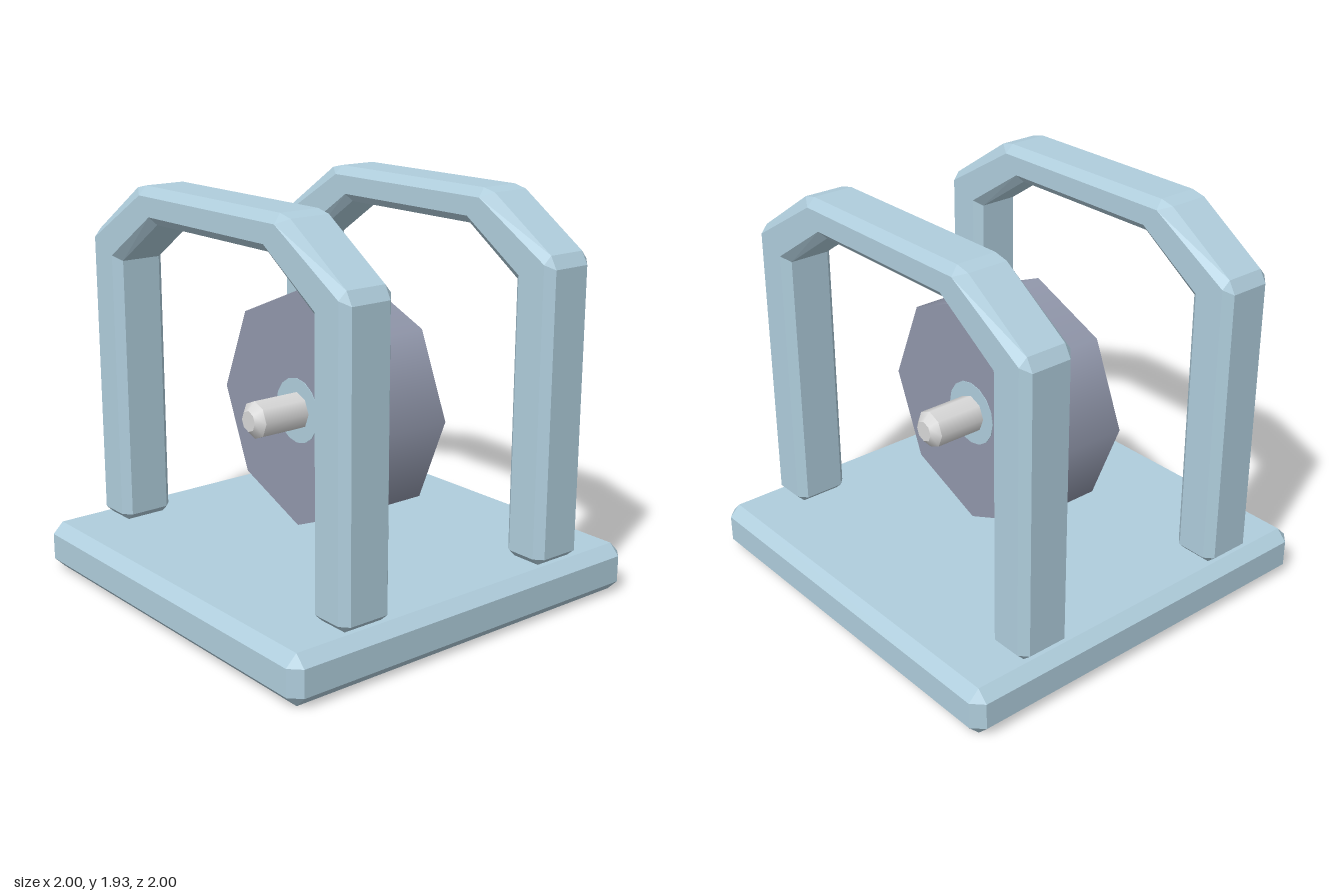
import * as THREE from 'three';
import { ConvexGeometry } from 'three/addons/geometries/ConvexGeometry.js';

const blue = new THREE.MeshStandardMaterial({ color: 0xb0cedd });
blue.name = 'paleBlue';
const slate = new THREE.MeshStandardMaterial({ color: 0x9298ac });
slate.name = 'slateGrey';
const steel = new THREE.MeshStandardMaterial({ color: 0xd9d9d9 });
steel.name = 'lightSteel';

function addMesh(parent, name, geometry, material, x = 0, y = 0, z = 0) {
  const mesh = new THREE.Mesh(geometry, material);
  mesh.name = name;
  mesh.position.set(x, y, z);
  parent.add(mesh);
  return mesh;
}

// Box with every edge and corner cut at 45 degrees
function chamferedBox(w, h, d, c) {
  const points = [];
  for (const sx of [-1, 1]) for (const sy of [-1, 1]) for (const sz of [-1, 1]) {
    for (let full = 0; full < 3; full++) {
      const p = [w / 2 - c, h / 2 - c, d / 2 - c];
      p[full] += c;
      points.push(new THREE.Vector3(p[0] * sx, p[1] * sy, p[2] * sz));
    }
  }
  return new ConvexGeometry(points);
}

// Arch: a chamfered bar swept up one leg, over the top and down the other
function archGeometry(halfDepth, c) {
  // Each station: outer, outer face edge, inner face edge, inner (x, y pairs)
  const half = [
    [0.92, 0.235, 0.92, 0.235, 0.77, 0.235, 0.77, 0.235],
    [0.96, 0.27, 0.92, 0.27, 0.77, 0.27, 0.73, 0.27],
    [0.96, 1.617, 0.92, 1.638, 0.77, 1.57, 0.73, 1.545],
    [0.926, 1.676, 0.92, 1.638, 0.77, 1.57, 0.73, 1.545],
    [0.573, 1.911, 0.51, 1.884, 0.434, 1.793, 0.42, 1.756],
    [0.503, 1.927, 0.51, 1.884, 0.434, 1.793, 0.42, 1.756],
  ];
  const b = halfDepth - c;
  const ring = (s, side, foot) => {
    const f = foot ? b : halfDepth;
    const layout = [[0, -b], [0, b], [1, f], [2, f], [3, b], [3, -b], [2, -f], [1, -f]];
    return layout.map(([k, z]) => [s[2 * k] * side, s[2 * k + 1], z]);
  };
  const rings = half.map((s, i) => ring(s, 1, i === 0));
  for (let i = half.length - 1; i >= 0; i--) rings.push(ring(half[i], -1, i === 0));

  const pos = [];
  const quad = (p, q, r, s) => pos.push(...p, ...q, ...r, ...p, ...r, ...s);
  for (let i = 0; i < rings.length - 1; i++) {
    const lower = rings[i], upper = rings[i + 1];
    for (let j = 0; j < 8; j++) {
      const k = (j + 1) % 8;
      quad(lower[j], upper[j], upper[k], lower[k]);
    }
  }
  const first = rings[0], last = rings[rings.length - 1];
  quad(first[0], first[1], first[4], first[5]);
  quad(last[5], last[4], last[1], last[0]);

  const geometry = new THREE.BufferGeometry();
  geometry.setAttribute('position', new THREE.Float32BufferAttribute(pos, 3));
  geometry.computeVertexNormals();
  return geometry;
}

// Cylinder lying along z
function rod(rFront, rBack, length, sides) {
  return new THREE.CylinderGeometry(rFront, rBack, length, sides).rotateX(Math.PI / 2);
}

export function createModel() {
  const model = new THREE.Group();
  model.name = 'wheelStand';

  addMesh(model, 'basePlate', chamferedBox(2, 0.235, 2, 0.053), blue, 0, 0.1175, 0);

  // Two matching arches
  const arch = archGeometry(0.135, 0.036);
  addMesh(model, 'frontArch', arch, blue, 0, 0, 0.575);
  addMesh(model, 'backArch', arch, blue, 0, 0, -0.575);

  // Wheel and axle turn about one centre line
  const spinner = new THREE.Group();
  spinner.name = 'wheelAssembly';
  spinner.position.y = 0.89;
  model.add(spinner);
  addMesh(spinner, 'wheel', rod(0.57, 0.57, 0.41, 8), slate);
  addMesh(spinner, 'axle', rod(0.09, 0.09, 0.9, 8), steel);
  for (const s of [1, -1]) {
    const end = s > 0 ? 'front' : 'back';
    addMesh(spinner, end + 'HubDisc', rod(0.157, 0.157, 0.008, 16), blue, 0, 0, s * 0.204);
    const tip = addMesh(spinner, end + 'AxleTip', rod(0.05, 0.09, 0.036, 8), steel, 0, 0, s * 0.468);
    if (s < 0) tip.rotation.y = Math.PI;
  }
  return model;
}
